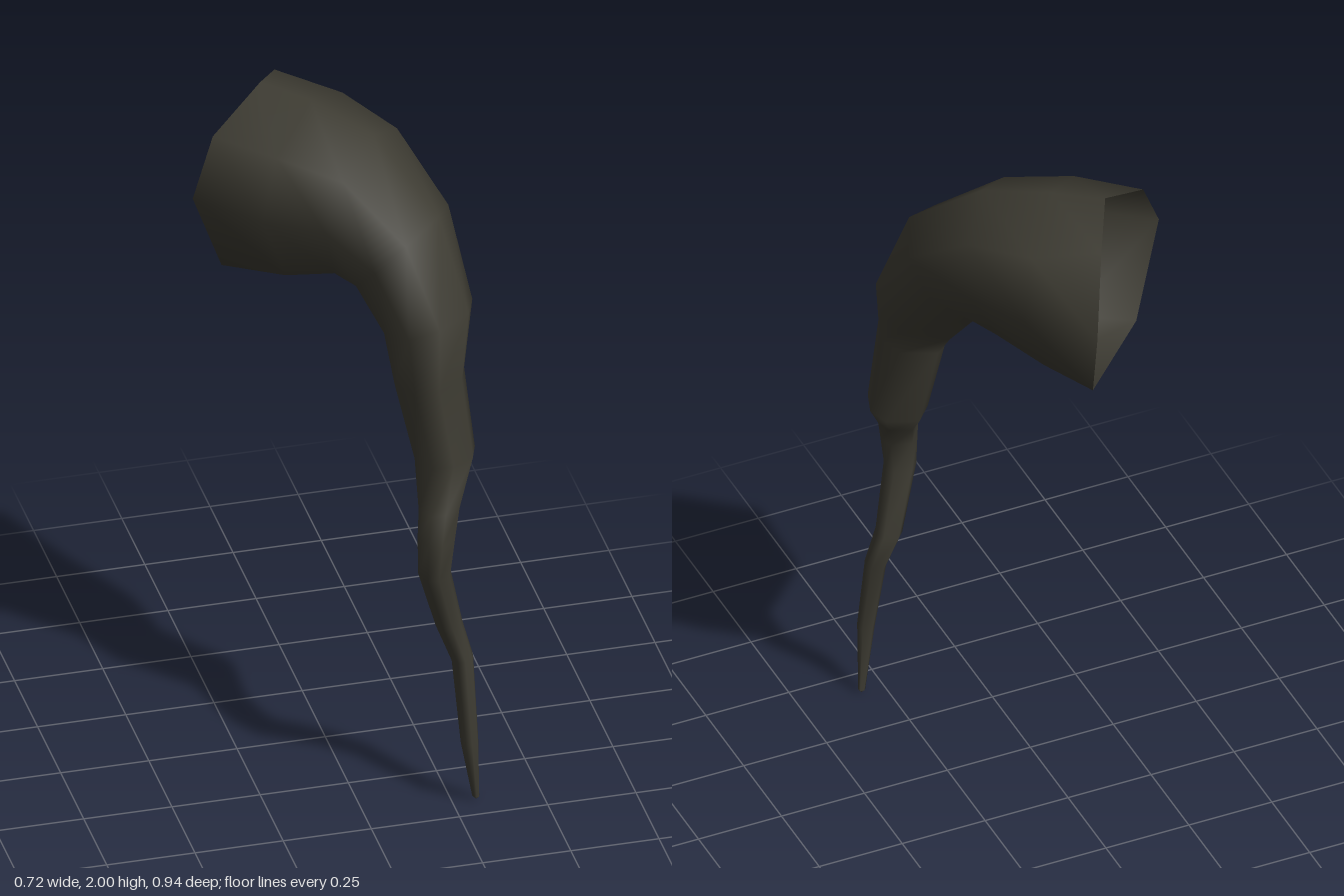
import * as THREE from 'three';

const V = (x, y, z) => new THREE.Vector3(x, y, z);

// Irregular mouth edge, counted from the side over the top
const RIM = [
  V(-0.36, 1.75, -0.06), V(-0.29, 1.91, -0.11), V(-0.13, 2.0, -0.21), V(-0.05, 1.94, -0.36),
  V(0.012, 1.735, -0.47), V(-0.02, 1.483, -0.37), V(-0.26, 1.48, -0.13),
];
const MOUTH = [-0.175, 1.73, -0.265];

// Corner angles of the seven-sided rings, flat underneath
const ANGLES = [3, 43, 90, 137, 177, 244, 296].map(THREE.MathUtils.degToRad);
const SIDES = ANGLES.length;
const SIDE = V(-0.67, 0, 0.74).normalize();

// Cross-sections: x, y, z, radius
const SECTIONS = [
  [-0.02, 1.72, -0.115, 0.267], [0.1, 1.72, 0.013, 0.22], [0.18, 1.633, 0.143, 0.172],
  [0.236, 1.44, 0.224, 0.132], [0.22, 1.295, 0.297, 0.1], [0.26, 1.05, 0.31, 0.086],
  [0.224, 0.935, 0.39, 0.06], [0.208, 0.855, 0.418, 0.054], [0.2, 0.745, 0.425, 0.046],
  [0.25, 0.555, 0.388, 0.038], [0.285, 0.445, 0.4, 0.031], [0.293, 0.205, 0.445, 0.025],
  [0.317, 0.01, 0.42, 0.01], [0.318, 0, 0.419, 0],
];

// Hollow skin of seven-sided rings that starts at the rim and follows the sections
function hornGeometry() {
  const centres = [MOUTH, ...SECTIONS].map(([x, y, z]) => V(x, y, z));
  const positions = [];
  RIM.forEach((p) => positions.push(p.x, p.y, p.z));
  SECTIONS.forEach(([, , , r], k) => {
    const centre = centres[k + 1];
    const next = centres[Math.min(k + 2, centres.length - 1)];
    // Direction leans toward the segment leading into the ring
    const t = centre.clone().sub(centres[k]).normalize().multiplyScalar(2)
      .add(next.clone().sub(centre).normalize());
    const up = SIDE.clone().cross(t).normalize();
    ANGLES.forEach((a) => {
      const p = centre.clone()
        .addScaledVector(SIDE, r * Math.cos(a)).addScaledVector(up, r * Math.sin(a));
      positions.push(p.x, Math.max(p.y, 0), p.z);
    });
  });
  const index = [];
  for (let j = 0; j < SECTIONS.length; j++) {
    for (let i = 0; i < SIDES; i++) {
      const a = j * SIDES + i;
      const b = j * SIDES + ((i + 1) % SIDES);
      const c = a + SIDES;
      const d = b + SIDES;
      index.push(a, c, b, b, c, d);
    }
  }
  const geometry = new THREE.BufferGeometry();
  geometry.setAttribute('position', new THREE.Float32BufferAttribute(positions, 3));
  geometry.setIndex(index);
  geometry.computeVertexNormals();
  return geometry;
}

export function createModel() {
  const group = new THREE.Group();
  group.name = 'twistedHorn';
  const darkHorn = new THREE.MeshStandardMaterial({ color: 0x3d3b32, side: THREE.DoubleSide });
  darkHorn.name = 'darkHorn';

  // Thin open shell, from the flared mouth down to the wavy tip
  const shell = new THREE.Mesh(hornGeometry(), darkHorn);
  shell.name = 'hornShell';
  group.add(shell);
  return group;
}
